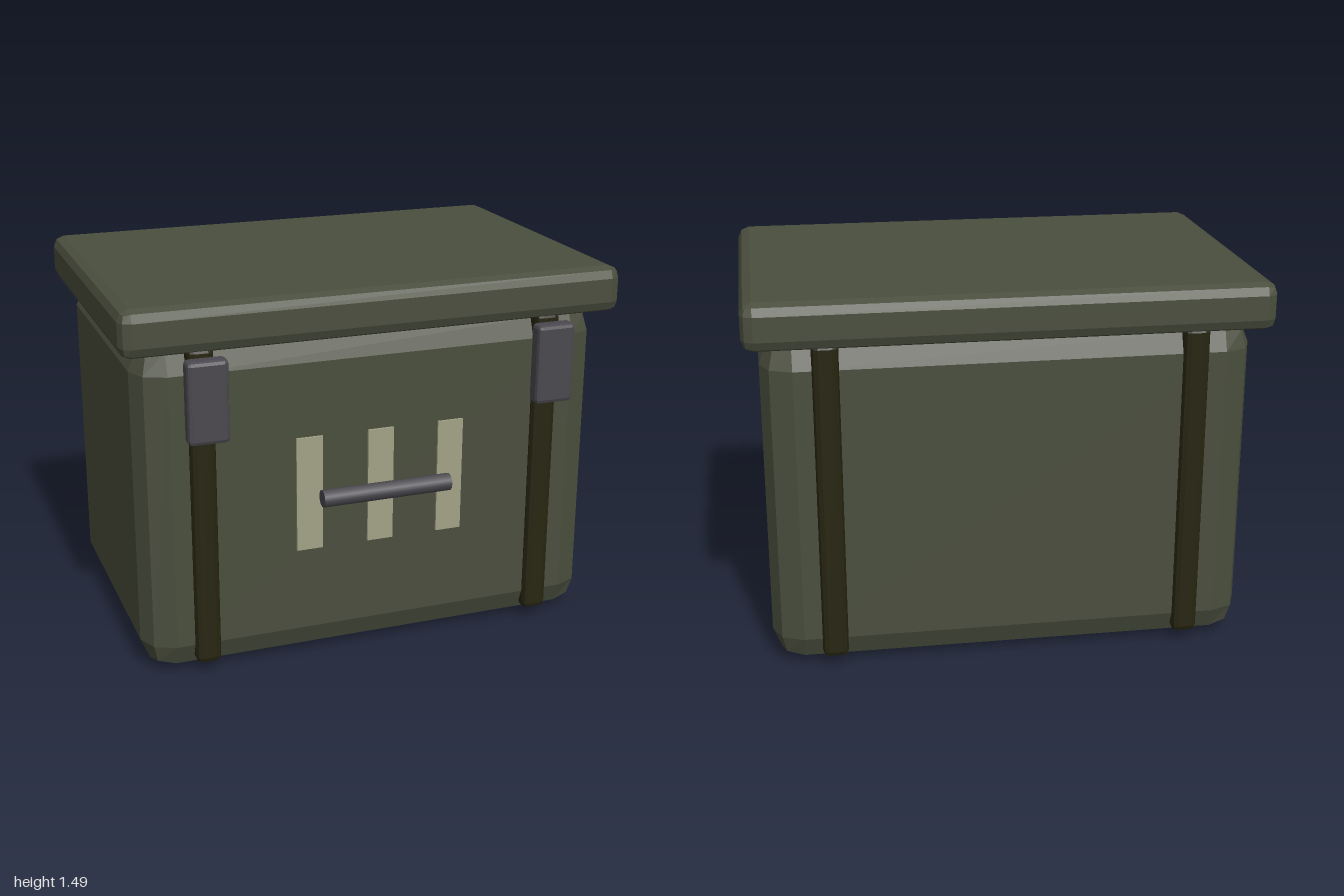
import * as THREE from 'three';
import { RoundedBoxGeometry } from 'three/addons/geometries/RoundedBoxGeometry.js';

const material = (name, color) => {
  const m = new THREE.MeshStandardMaterial({ color });
  m.name = name;
  return m;
};

export function createModel() {
  const olive = material('olive', 0x4a4e3d);
  const strapBrown = material('dark strap', 0x272511);
  const metal = material('grey metal', 0x4a484e);
  const cream = material('faded cream', 0xa3a186);

  const model = new THREE.Group();
  model.name = 'crate';

  const add = (name, geometry, mat, x, y, z) => {
    const mesh = new THREE.Mesh(geometry, mat);
    mesh.name = name;
    mesh.position.set(x, y, z);
    model.add(mesh);
    return mesh;
  };

  // Box with a faceted two-step bevel, given by its bounds in y and z
  const bevelBox = (name, mat, x, width, [y0, y1], [z0, z1], bevel) => {
    const g = new RoundedBoxGeometry(width, y1 - y0, z1 - z0, 1, bevel);
    g.computeVertexNormals();
    return add(name, g, mat, x, (y0 + y1) / 2, (z0 + z1) / 2);
  };

  // Main box and overhanging lid
  bevelBox('body', olive, 0, 1.88, [0, 1.335], [-0.645, 0.575], 0.12);
  bevelBox('lid', olive, 0, 2, [1.303, 1.487], [-0.7, 0.63], 0.045);

  // Straps around the box, each with a latch at the front
  for (const [side, s] of [['left', 1], ['right', -1]]) {
    bevelBox(side + 'Strap', strapBrown, s * 0.7, 0.1, [0.045, 1.325], [-0.67, 0.605], 0.024);
    bevelBox(side + 'Latch', metal, s * 0.697, 0.157, [0.976, 1.294], [0.614, 0.684], 0.016);
  }

  // Painted bars on the front
  for (let i = -1; i <= 1; i++) {
    add('paintedBar', new THREE.BoxGeometry(0.105, 0.46, 0.009), cream, i * 0.29, 0.7, 0.603);
  }

  // Round carrying handle
  const handle = add('handle', new THREE.CylinderGeometry(0.034, 0.034, 0.523, 12), metal, 0, 0.7, 0.668);
  handle.rotation.z = Math.PI / 2;

  return model;
}
